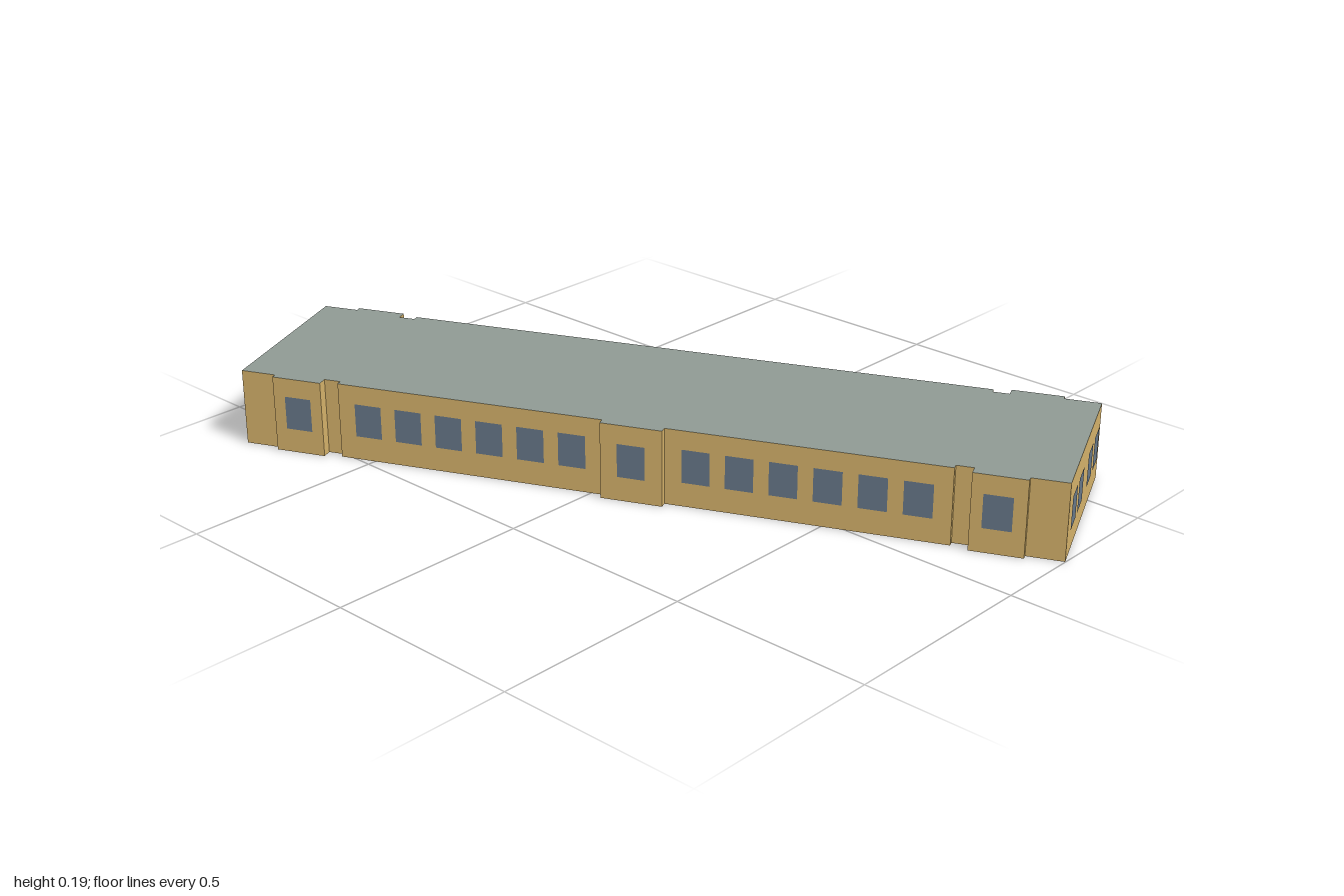
import * as THREE from 'three';

const H = 0.19; // wall height
const END = 0.995, CORNER = 0.226, MAIN = 0.228, PAVILION = 0.239, RECESS = 0.214, PORCH = 0.245;

const wallPaint = new THREE.MeshStandardMaterial({ color: 0xd4b16a, side: THREE.DoubleSide });
wallPaint.name = 'sand wall';
const roofPaint = new THREE.MeshStandardMaterial({ color: 0x8f9a93, side: THREE.DoubleSide });
roofPaint.name = 'grey roof';
const glass = new THREE.MeshStandardMaterial({ color: 0x667788 });
glass.name = 'blue grey glass';

// Upright strip of flat walls along a list of [x, z] points
function wallGeometry(points) {
  const pos = [];
  for (let i = 0; i + 1 < points.length; i++) {
    const [ax, az] = points[i], [bx, bz] = points[i + 1];
    pos.push(ax, 0, az, bx, 0, bz, bx, H, bz, ax, 0, az, bx, H, bz, ax, H, az);
  }
  const geo = new THREE.BufferGeometry();
  geo.setAttribute('position', new THREE.Float32BufferAttribute(pos, 3));
  geo.computeVertexNormals();
  return geo;
}

// Half of a long side, from the end corner towards the middle
const halfSide = [
  [END, CORNER], [0.907, CORNER], [0.907, PAVILION], [0.782, PAVILION],
  [0.782, RECESS], [0.741, RECESS], [0.741, MAIN],
];
const porch = [[-0.075, MAIN], [-0.075, PORCH], [0.075, PORCH], [0.075, MAIN]];

export function createModel() {
  const model = new THREE.Group();
  model.name = 'longBuilding';
  const building = new THREE.Group();
  building.name = 'building';
  building.rotation.y = 0.4275;
  model.add(building);

  function add(name, geo, material) {
    const mesh = new THREE.Mesh(geo, material);
    mesh.name = name;
    building.add(mesh);
    return mesh;
  }

  // Plan outline: front with a porch, back without
  const left = halfSide.map(([x, z]) => [-x, z]);
  const right = [...halfSide].reverse();
  const front = [...left, ...porch, ...right];
  const back = [...left, ...right].map(([x, z]) => [-x, -z]);
  const outline = [...front, ...back];
  add('outerWalls', wallGeometry([...outline, outline[0]]), wallPaint);

  // Flat roof
  const shape = new THREE.Shape(outline.map(([x, z]) => new THREE.Vector2(x, -z)));
  const roof = add('roof', new THREE.ShapeGeometry(shape), roofPaint);
  roof.rotation.x = -Math.PI / 2;
  roof.position.y = H;

  // Closed end bays: cross wall and floor strip
  for (const s of [-1, 1]) {
    add('crossWall', wallGeometry([[s * 0.907, -PAVILION * s], [s * 0.907, PAVILION * s]]), wallPaint);
    const floor = add('endFloor', new THREE.PlaneGeometry(END - 0.907, CORNER * 2), wallPaint);
    floor.rotation.x = Math.PI / 2;
    floor.position.set(s * (END + 0.907) / 2, 0, 0);
  }

  // Windows
  const pane = new THREE.PlaneGeometry(0.067, 0.083);
  function addWindow(x, z, turn) {
    const mesh = add('window', pane, glass);
    mesh.position.set(x, 0.102, z);
    mesh.rotation.y = turn;
  }
  const gap = 0.002;
  for (const s of [-1, 1]) {
    for (let i = 0; i < 6; i++) addWindow(s * (0.15 + i * 0.103), MAIN + gap, 0);
    addWindow(s * 0.843, PAVILION + gap, 0);
    addWindow(s * 0.843, -PAVILION - gap, Math.PI);
  }
  addWindow(0, PORCH + gap, 0);
  for (let i = -6; i <= 6; i++) addWindow(i * 0.111, -MAIN - gap, Math.PI);
  for (const z of [-0.162, -0.068, 0.067, 0.159]) addWindow(END + gap, z, Math.PI / 2);
  for (const z of [-0.155, -0.052, 0.052, 0.155]) addWindow(-END - gap, z, -Math.PI / 2);

  return model;
}
